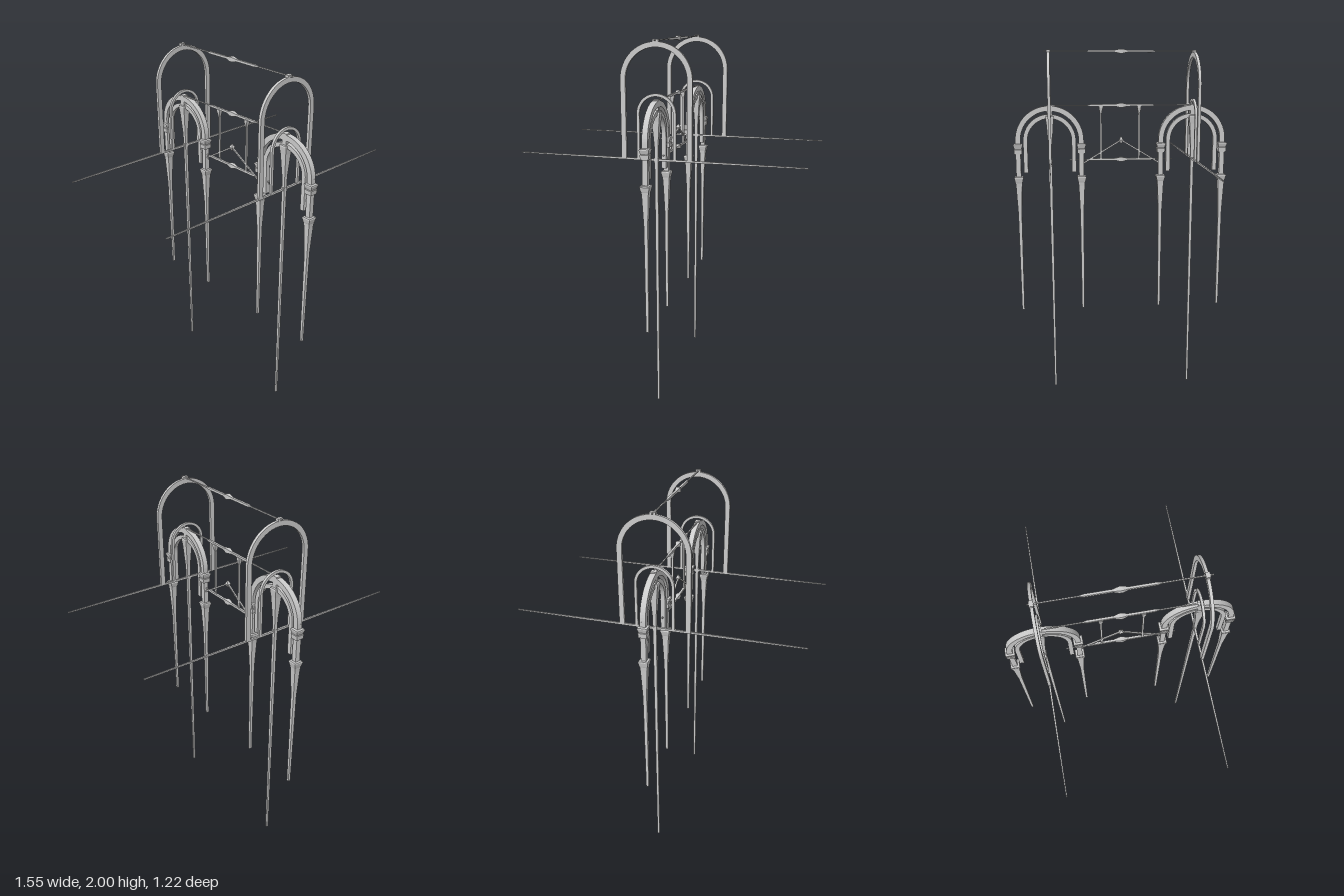
import * as THREE from 'three';

const material = new THREE.MeshStandardMaterial({ color: 0xcccccc, flatShading: true });

function addMesh(parent, geometry, name, x = 0, y = 0, z = 0) {
  const mesh = new THREE.Mesh(geometry, material);
  mesh.name = name;
  mesh.position.set(x, y, z);
  parent.add(mesh);
  return mesh;
}

// Square tapered shaft along y; profile is [halfWidth, y] from bottom to top, capped at both ends
function squareShaft(profile) {
  const pts = profile.map(([h, y]) => new THREE.Vector2(h * Math.SQRT2, y));
  pts.unshift(new THREE.Vector2(0, pts[0].y));
  pts.push(new THREE.Vector2(0, pts[pts.length - 1].y));
  return new THREE.LatheGeometry(pts, 4, Math.PI / 4);
}

// Round-headed arch band in the xy plane, centred on its depth
function archBand(outer, inner, foot, spring, depth) {
  const s = new THREE.Shape();
  s.moveTo(outer, foot);
  s.lineTo(outer, spring);
  s.absarc(0, spring, outer, 0, Math.PI, false);
  s.lineTo(-outer, foot);
  s.lineTo(-inner, foot);
  s.lineTo(-inner, spring);
  s.absarc(0, spring, inner, Math.PI, 0, true);
  s.lineTo(inner, foot);
  const g = new THREE.ExtrudeGeometry(s, { depth, bevelEnabled: false, curveSegments: 20 });
  return g.translate(0, 0, -depth / 2);
}

// Thin square rod between two points in the yz plane
function rod(parent, name, z1, y1, z2, y2, half) {
  const length = Math.hypot(z2 - z1, y2 - y1);
  const mesh = addMesh(parent, new THREE.BoxGeometry(half * 2, half * 2, length), name, 0, (y1 + y2) / 2, (z1 + z2) / 2);
  mesh.rotation.x = -Math.atan2(y2 - y1, z2 - z1);
}

// Horizontal tie along z, thicker in the middle, with a diamond knop at its centre
function tie(parent, name, y, reach) {
  const half = [[0.003, -reach], [0.003, -0.19], [0.006, -0.17], [0.006, -0.035], [0.012, -0.008]];
  const profile = [...half, ...half.slice().reverse().map(([h, p]) => [h, -p])];
  addMesh(parent, squareShaft(profile), name, 0, y, 0).rotation.x = Math.PI / 2;
}

// Legs: slender foot, tapered swelling, capital, shaft, upper collar
const legProfile = [
  [0.007, 0.5], [0.010, 1.08], [0.017, 1.24], [0.019, 1.262], [0.021, 1.268],
  [0.026, 1.29], [0.024, 1.296], [0.014, 1.298], [0.014, 1.427],
  [0.021, 1.427], [0.023, 1.452], [0.020, 1.455], [0.026, 1.475], [0.025, 1.481], [0.014, 1.484], [0.014, 1.51],
];

const postProfile = [
  [0.006, 0], [0.009, 1.39], [0.010, 1.46], [0.019, 1.59], [0.021, 1.605],
  [0.024, 1.63], [0.022, 1.637], [0.015, 1.64], [0.015, 1.70],
];

const crossbarProfile = [
  [0.003, -0.775], [0.004, -0.5], [0.005, -0.19], [0.006, 0],
  [0.005, 0.19], [0.004, 0.5], [0.003, 0.775],
];

// Crosswise arches, crossbar and tall centre post
function buildGate(parent, z) {
  const gate = new THREE.Group();
  gate.name = 'gate';
  gate.position.z = z;
  parent.add(gate);
  addMesh(gate, archBand(0.19, 0.163, 1.39, 1.795, 0.016), 'tallArch');
  addMesh(gate, archBand(0.105, 0.09, 1.39, 1.625, 0.014), 'smallArch');
  addMesh(gate, squareShaft(postProfile), 'centrePost');
  addMesh(gate, squareShaft(crossbarProfile), 'crossbar', 0, 1.39, 0).rotation.z = Math.PI / 2;
  addMesh(gate, new THREE.BoxGeometry(0.022, 0.022, 0.022), 'crossbarBlock', 0, 1.39, 0);
  addMesh(gate, new THREE.BoxGeometry(0.03, 0.014, 0.022), 'archCrown', 0, 1.99, 0);
}

// Lengthwise arches standing on a pair of legs
function buildBay(parent, z) {
  const bay = new THREE.Group();
  bay.name = 'archBay';
  bay.position.z = z;
  bay.rotation.y = Math.PI / 2;
  parent.add(bay);
  addMesh(bay, archBand(0.192, 0.163, 1.48, 1.502, 0.03), 'outerArch');
  addMesh(bay, archBand(0.148, 0.124, 1.32, 1.5, 0.024), 'innerArch');
  for (const side of [-1, 1]) addMesh(bay, squareShaft(legProfile), 'archLeg', side * 0.178, 0, 0);
}

export function createModel() {
  const model = new THREE.Group();
  model.name = 'archedFrame';

  for (const z of [0.402, -0.41]) buildGate(model, z);
  for (const z of [0.405, -0.405]) buildBay(model, z);

  // Ties joining both halves
  tie(model, 'ridgeTie', 1.99, 0.43);
  tie(model, 'upperTie', 1.695, 0.405);
  tie(model, 'lowerTie', 1.39, 0.295);

  // Hangers between the two lower ties, with small flared heads
  const hanger = squareShaft([[0.005, 1.385], [0.005, 1.65], [0.011, 1.68], [0.011, 1.692]]);
  for (const z of [0.115, -0.102]) addMesh(model, hanger, 'hanger', 0, 0, z);

  // Gabled braces with a peak knop
  for (const side of [-1, 1]) rod(model, 'brace', 0, 1.5, side * 0.235, 1.358, 0.004);
  addMesh(model, squareShaft([[0.004, 1.48], [0.012, 1.5], [0.003, 1.518]]), 'peakKnop');

  return model;
}
